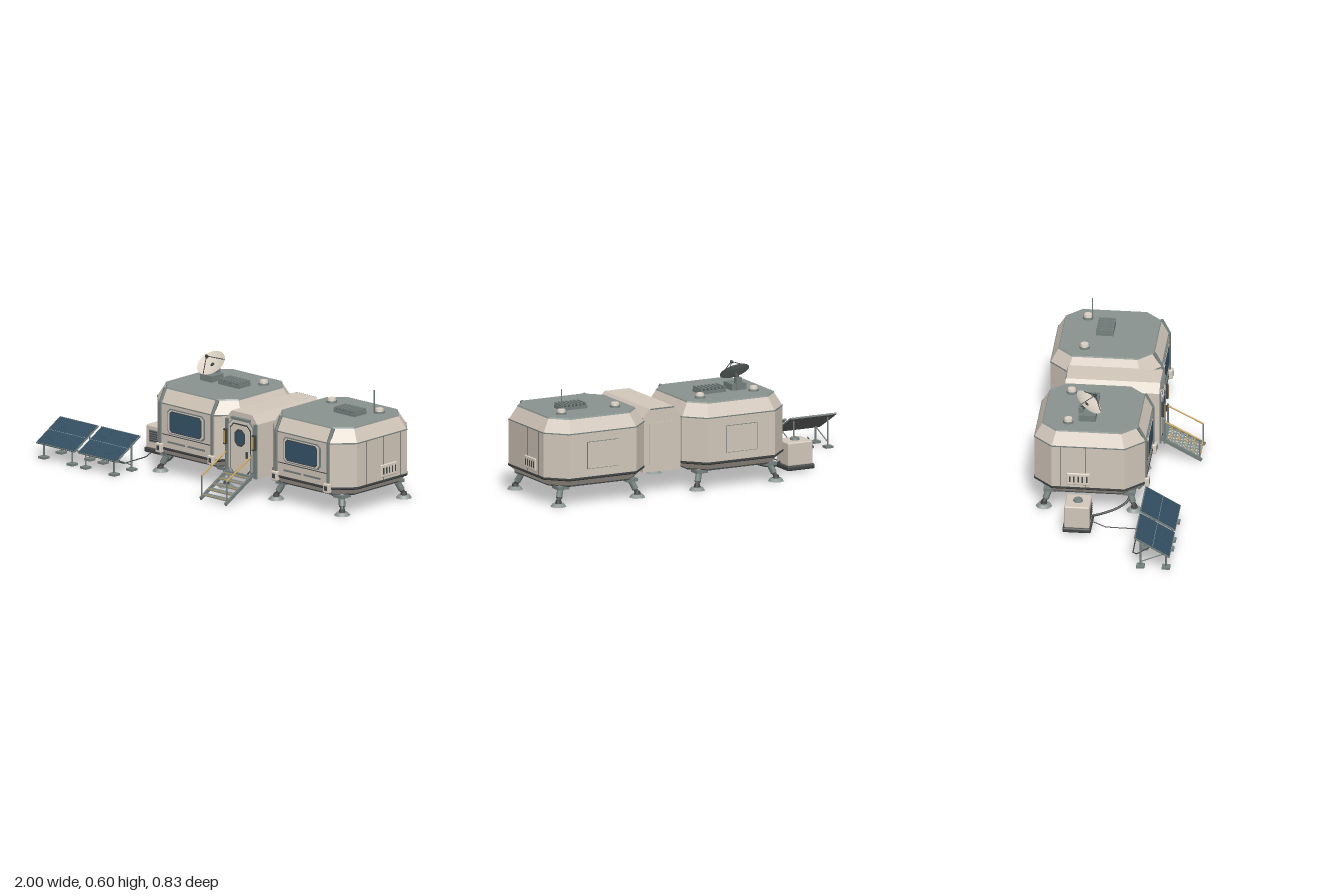
import * as THREE from 'three';
import { RoundedBoxGeometry } from 'three/addons/geometries/RoundedBoxGeometry.js';

const mat = (name, color) => Object.assign(new THREE.MeshStandardMaterial({ color }), { name });
const V = (x, y, z) => new THREE.Vector3(x, y, z);

export function createModel() {
  const root = new THREE.Group();
  const hull = mat('hull tan', 0xd2c7ba);
  const pale = mat('pale panel', 0xdad0c3);
  const roof = mat('roof grey green', 0x89938f);
  const trim = mat('trim grey green', 0x75817e);
  const under = mat('underside grey', 0x626666);
  const dark = mat('charcoal', 0x424546);
  const glass = mat('window blue', 0x36536a);
  const solar = mat('solar cell blue', 0x324d60);
  const line = mat('cell line', 0x93a4ab);
  const yellow = mat('handrail yellow', 0xcba152);

  // Helpers
  const add = (parent, name, geo, m, x = 0, y = 0, z = 0) => {
    const mesh = new THREE.Mesh(geo, m);
    mesh.name = name;
    mesh.position.set(x, y, z);
    parent.add(mesh);
    return mesh;
  };
  const group = (parent, name, x = 0, y = 0, z = 0) => {
    const g = new THREE.Group();
    g.name = name;
    g.position.set(x, y, z);
    parent.add(g);
    return g;
  };
  const box = (p, name, m, w, h, d, x, y, z) => add(p, name, new THREE.BoxGeometry(w, h, d), m, x, y, z);
  const cyl = (p, name, m, r0, r1, h, x, y, z, n = 12) =>
    add(p, name, new THREE.CylinderGeometry(r0, r1, h, n), m, x, y, z);
  const rod = (p, name, m, a, b, r, n = 8) => {
    const mesh = cyl(p, name, m, r, r, a.distanceTo(b), 0, 0, 0, n);
    mesh.position.copy(a).lerp(b, 0.5);
    mesh.quaternion.setFromUnitVectors(V(0, 1, 0), b.clone().sub(a).normalize());
    return mesh;
  };
  // Chamfered octagon stacked through rings of [y, half depth, chamfer], slightly wider than deep
  const WIDER = 0.007;
  const loft = (rings) => {
    const pos = [];
    const ring = rings.map(([y, h, c]) => {
      const k = h - c;
      return [[h, -k], [h, k], [k, h], [-k, h], [-h, k], [-h, -k], [-k, -h], [k, -h]]
        .map(([x, z]) => [x + Math.sign(x) * WIDER, y, z]);
    });
    const last = ring.length - 1;
    for (let i = 0; i < 8; i++) {
      const j = (i + 1) % 8;
      for (let r = 0; r < last; r++) {
        const [a, b, c, d] = [ring[r][i], ring[r][j], ring[r + 1][j], ring[r + 1][i]];
        pos.push(...a, ...d, ...b, ...d, ...c, ...b);
      }
      pos.push(0, rings[0][0], 0, ...ring[0][i], ...ring[0][j]);
      pos.push(0, rings[last][0], 0, ...ring[last][j], ...ring[last][i]);
    }
    const g = new THREE.BufferGeometry();
    g.setAttribute('position', new THREE.Float32BufferAttribute(pos, 3));
    g.computeVertexNormals();
    return g;
  };
  // Flat plate with cut corners, facing +z
  const plate = (w, h, c, depth) => {
    const x = w / 2, y = h / 2;
    const s = new THREE.Shape([[-x + c, -y], [x - c, -y], [x, -y + c], [x, y - c], [x - c, y], [-x + c, y], [-x, y - c], [-x, -y + c]]
      .map(([a, b]) => new THREE.Vector2(a, b)));
    return new THREE.ExtrudeGeometry(s, { depth, bevelEnabled: false });
  };

  // Habitat modules
  const W = 0.288;
  const habitat = (name, cx, ventSide) => {
    const g = group(root, name, cx, 0, -0.12);
    add(g, 'shell', loft([[0.105, 0.25, 0.08], [0.145, W, 0.098], [0.385, W, 0.098], [0.456, 0.248, 0.08]]), hull);
    add(g, 'roofPlate', loft([[0.454, 0.25, 0.08], [0.461, 0.247, 0.08]]), roof);
    add(g, 'floorPlate', loft([[0.099, 0.247, 0.08], [0.107, 0.252, 0.081]]), under);
    add(g, 'upperTrim', loft([[0.383, 0.29, 0.099], [0.388, 0.29, 0.099]]), trim);
    add(g, 'lowerBand', loft([[0.138, 0.286, 0.097], [0.143, 0.291, 0.099], [0.152, 0.291, 0.099]]), dark);
    cyl(g, 'bellyHatch', trim, 0.04, 0.04, 0.004, 0, 0.098, 0, 16);

    // Front window with frame and struts
    add(g, 'windowFrame', plate(0.262, 0.135, 0.018, 0.006), trim, 0, 0.299, W);
    add(g, 'windowSurround', plate(0.25, 0.124, 0.016, 0.003), pale, 0, 0.299, W + 0.005);
    add(g, 'windowBorder', plate(0.224, 0.114, 0.014, 0.002), dark, 0, 0.299, W + 0.007);
    add(g, 'windowGlass', plate(0.214, 0.104, 0.012, 0.002), glass, 0, 0.299, W + 0.008);
    box(g, 'frontSeam', dark, 0.34, 0.004, 0.004, 0, 0.222, W);
    for (const x of [-0.07, 0.07]) box(g, 'frontStripe', trim, 0.12, 0.01, 0.005, x, 0.185, W);
    for (const s of [-1, 1]) {
      const path = [[0.105, 0.25], [0.145, W], [0.385, W], [0.458, 0.249]];
      for (let i = 0; i < 3; i++)
        rod(g, 'frontStrut', trim, V(s * 0.183, ...path[i]), V(s * 0.183, ...path[i + 1]), 0.01, 6);
      add(g, 'strutBox', new RoundedBoxGeometry(0.04, 0.05, 0.026, 2, 0.005), pale, s * 0.183, 0.147, W + 0.008);
      box(g, 'strutBoxPanel', dark, 0.018, 0.024, 0.003, s * 0.183, 0.148, W + 0.021);
      // Panel seams on the end walls
      for (const z of [-0.14, -0.013, 0.12]) box(g, 'sideSeam', dark, 0.002, 0.23, 0.002, s * (W + WIDER), 0.267, z);
    }
    // Back access panel
    box(g, 'backPanelEdge', trim, 0.184, 0.144, 0.004, 0, 0.265, -W);
    box(g, 'backPanel', hull, 0.178, 0.138, 0.012, 0, 0.265, -W);

    // Slotted vent on the outer end
    const vent = group(g, 'sideVent', ventSide * (W + WIDER), 0.2, -0.05);
    add(vent, 'ventPlate', new RoundedBoxGeometry(0.014, 0.068, 0.122, 2, 0.006), pale);
    for (let i = -2; i <= 2; i++) box(vent, 'ventSlot', dark, 0.004, 0.034, 0.008, ventSide * 0.006, 0, i * 0.022);

    // Roof fittings
    const fins = group(g, 'roofVent', 0.047, 0.46, -0.025);
    box(fins, 'ventBase', trim, 0.148, 0.018, 0.09, 0, 0.009, 0);
    box(fins, 'ventShadowPlate', dark, 0.14, 0.003, 0.08, 0, 0.0185, 0);
    for (let i = 0; i < 7; i++) box(fins, 'ventFin', trim, 0.009, 0.014, 0.09, -0.066 + i * 0.022, 0.024, 0);
    for (const [x, z] of [[-0.165, -0.115], [0.158, -0.13]]) {
      cyl(g, 'capBase', trim, 0.026, 0.028, 0.012, x, 0.466, z, 16);
      cyl(g, 'cap', pale, 0.02, 0.023, 0.014, x, 0.479, z, 16);
    }

    // Landing legs
    for (const sx of [-1, 1]) for (const sz of [-1, 1]) {
      const leg = group(g, 'landingLeg', sx * 0.232, 0, sz * 0.235);
      cyl(leg, 'footPad', roof, 0.03, 0.043, 0.016, 0, 0.008, 0, 8);
      cyl(leg, 'ankle', dark, 0.014, 0.018, 0.016, 0, 0.024, 0);
      rod(leg, 'lowerLeg', dark, V(0, 0.024, 0), V(-sx * 0.015, 0.055, -sz * 0.015), 0.012);
      rod(leg, 'upperLeg', trim, V(-sx * 0.008, 0.042, -sz * 0.008), V(-sx * 0.03, 0.1, -sz * 0.03), 0.017);
      box(leg, 'hipPlate', trim, 0.066, 0.016, 0.066, -sx * 0.03, 0.093, -sz * 0.03);
    }
    return g;
  };
  habitat('rightHabitat', -0.123, -1);
  const antennaModule = habitat('leftHabitat', 0.692, 1);
  rod(antennaModule, 'whipAntenna', trim, V(0.143, 0.46, -0.105), V(0.143, 0.586, -0.105), 0.0032);

  // Dish antenna
  const dish = group(root, 'dishAntenna', -0.23, 0.46, -0.14);
  box(dish, 'dishBase', trim, 0.085, 0.035, 0.09, 0, 0.0175, 0);
  box(dish, 'dishPost', trim, 0.034, 0.065, 0.026, 0, 0.033, -0.034);
  rod(dish, 'dishArm', dark, V(0, 0.05, -0.036), V(0, 0.082, -0.004), 0.012);
  const head = group(dish, 'dishHead', 0, 0.092, 0.005);
  head.rotation.x = 0.675;
  // Outer profile runs centre to rim, inner runs rim to centre so it faces the feed
  const radii = [0, 0.02, 0.04, 0.06, 0.08];
  const bowl = (rs, lift) => new THREE.LatheGeometry(
    rs.map((r) => new THREE.Vector2(r, 2.6 * r * r - 0.0166 + lift)), 28);
  add(head, 'dishBack', bowl(radii, 0), trim);
  add(head, 'dishFace', bowl([...radii].reverse(), 0.001), pale);
  cyl(head, 'dishHub', dark, 0.009, 0.009, 0.004, 0, -0.014, 0);
  for (let i = 0; i < 3; i++) {
    const a = Math.PI / 2 + i * Math.PI * 2 / 3;
    rod(head, 'feedStrut', dark, V(0.078 * Math.cos(a), 0, 0.078 * Math.sin(a)), V(0, 0.056, 0), 0.0022, 6);
  }
  cyl(head, 'feedHorn', dark, 0.007, 0.009, 0.014, 0, 0.054, 0);

  // Connecting corridor: chamfered section run along z
  const corridor = group(root, 'corridor', 0.287);
  const section = new THREE.Shape([[-0.11, 0.11], [0.11, 0.11], [0.11, 0.4], [0.072, 0.445], [-0.072, 0.445], [-0.11, 0.4]]
    .map(([x, y]) => new THREE.Vector2(x, y)));
  add(corridor, 'corridorShell', new THREE.ExtrudeGeometry(section, { depth: 0.49, bevelEnabled: false }), hull, 0, 0, -0.3);
  box(corridor, 'rearSeam', trim, 0.14, 0.006, 0.006, 0, 0.442, -0.3);
  box(corridor, 'rearPanel', hull, 0.15, 0.22, 0.008, 0, 0.26, -0.3);
  add(corridor, 'doorFrameEdge', plate(0.178, 0.294, 0.03, 0.01), trim, 0, 0.258, 0.188);
  add(corridor, 'doorFrame', plate(0.168, 0.286, 0.028, 0.012), pale, 0, 0.258, 0.188);
  add(corridor, 'doorGap', plate(0.146, 0.266, 0.025, 0.004), dark, 0, 0.254, 0.198);
  add(corridor, 'door', plate(0.134, 0.254, 0.022, 0.006), pale, 0, 0.253, 0.199);
  add(corridor, 'doorWindowFrame', plate(0.07, 0.09, 0.02, 0.003), dark, 0, 0.313, 0.204);
  add(corridor, 'doorWindow', plate(0.052, 0.072, 0.015, 0.002), glass, 0, 0.313, 0.206);
  box(corridor, 'doorHandle', dark, 0.01, 0.034, 0.012, 0.052, 0.23, 0.208);
  box(corridor, 'doorLamp', trim, 0.13, 0.012, 0.02, 0, 0.412, 0.197);
  for (const s of [-1, 1]) {
    box(corridor, 'frontPost', trim, 0.018, 0.29, 0.014, s * 0.1, 0.255, 0.193);
    box(corridor, 'grabMount', dark, 0.018, 0.082, 0.018, s * 0.1, 0.305, 0.207);
    box(corridor, 'grabRail', yellow, 0.01, 0.066, 0.006, s * 0.1, 0.305, 0.216);
  }

  // Entry stairs with grated treads, yellow nosings and handrails
  const stairs = group(root, 'stairs', 0.285);
  box(stairs, 'landing', trim, 0.18, 0.01, 0.03, 0, 0.122, 0.208);
  for (let i = 0; i < 5; i++) {
    const t = (i + 0.5) / 5;
    const step = group(stairs, 'step', 0, 0.02 + t * 0.108, 0.4 - t * 0.195);
    box(step, 'nosing', yellow, 0.168, 0.002, 0.005, 0, 0.0035, 0.017);
    for (const z of [-0.016, 0, 0.016]) box(step, 'treadRail', roof, 0.168, 0.006, 0.008, 0, 0, z);
    for (let k = -2; k <= 2; k++) box(step, 'treadBar', roof, 0.008, 0.006, 0.036, k * 0.034, 0, 0);
  }
  for (const s of [-1, 1]) {
    const x = s * 0.087;
    const beam = box(stairs, 'stringer', trim, 0.01, 0.018, 0.238, x, 0.07, 0.304);
    beam.rotation.x = 0.5;
    rod(stairs, 'lowerPost', trim, V(x, 0.015, 0.398), V(x, 0.133, 0.398), 0.004);
    rod(stairs, 'upperPost', trim, V(x, 0.1, 0.214), V(x, 0.24, 0.214), 0.005);
    rod(stairs, 'handrail', yellow, V(x, 0.132, 0.4), V(x, 0.228, 0.214), 0.0045);
  }

  // Tilted solar panels on short posts
  for (const cx of [-0.865, -0.571]) {
    const stand = group(root, 'solarStand', cx);
    const panel = group(stand, 'solarPanel', 0, 0.132, 0.272);
    panel.rotation.x = 0.515;
    box(panel, 'panelBack', under, 0.266, 0.005, 0.207, 0, -0.002, 0);
    box(panel, 'panelFrame', trim, 0.272, 0.006, 0.211, 0, 0.001, 0);
    box(panel, 'panelUnderside', under, 0.268, 0.002, 0.207, 0, -0.004, 0);
    box(panel, 'panelCells', solar, 0.263, 0.003, 0.203, 0, 0.004, 0);
    box(panel, 'midLine', line, 0.262, 0.001, 0.002, 0, 0.0056, 0);
    for (let i = 1; i < 8; i++) box(panel, 'cellLineAcross', glass, 0.0014, 0.001, 0.203, -0.131 + i * 0.0328, 0.0054, 0);
    for (const z of [-0.068, -0.034, 0.034, 0.068]) box(panel, 'cellLineAlong', glass, 0.262, 0.001, 0.0014, 0, 0.0054, z);
    for (const x of [-0.1, 0.1]) {
      for (const [z, top] of [[0.21, 0.164], [0.343, 0.088]]) {
        box(stand, 'panelFoot', trim, 0.042, 0.012, 0.042, x, 0.006, z);
        rod(stand, 'panelPost', trim, V(x, 0.01, z), V(x, top, z), 0.0045);
      }
      rod(stand, 'panelBrace', trim, V(x, 0.03, 0.21), V(x, 0.085, 0.34), 0.003, 6);
    }
  }

  // Power unit
  const unit = group(root, 'powerUnit', -0.573, 0, -0.155);
  add(unit, 'unitBase', new RoundedBoxGeometry(0.162, 0.026, 0.148, 2, 0.008), dark, 0, 0.022, 0);
  add(unit, 'unitBody', new RoundedBoxGeometry(0.146, 0.125, 0.132, 2, 0.008), hull, 0, 0.094, 0);
  cyl(unit, 'unitCap', trim, 0.022, 0.026, 0.014, 0, 0.162, 0, 16);
  box(unit, 'unitGrille', trim, 0.1, 0.065, 0.004, 0, 0.1, 0.066);
  for (let i = 0; i < 5; i++) box(unit, 'grilleBar', dark, 0.09, 0.006, 0.004, 0, 0.076 + i * 0.012, 0.068);

  // Hose to the habitat and cable to the panels
  const sweep = new THREE.CatmullRomCurve3([V(-0.5, 0.045, -0.135), V(-0.475, 0.018, -0.11), V(-0.44, 0.014, -0.05), V(-0.39, 0.032, 0.04), V(-0.35, 0.06, 0.085), V(-0.325, 0.11, 0.08)]);
  add(root, 'powerHose', new THREE.TubeGeometry(sweep, 40, 0.006, 8), dark);
  const route = [V(-0.573, 0.04, -0.085), V(-0.573, 0.01, -0.01), V(-0.573, 0.008, 0.155), V(-0.83, 0.008, 0.157), V(-0.865, 0.02, 0.18), V(-0.865, 0.06, 0.245)];
  for (let i = 0; i < 5; i++) rod(root, 'panelCable', dark, route[i], route[i + 1], 0.003, 6);
  rod(root, 'panelCableBranch', dark, V(-0.573, 0.008, 0.155), V(-0.573, 0.06, 0.245), 0.003, 6);

  return root;
}
